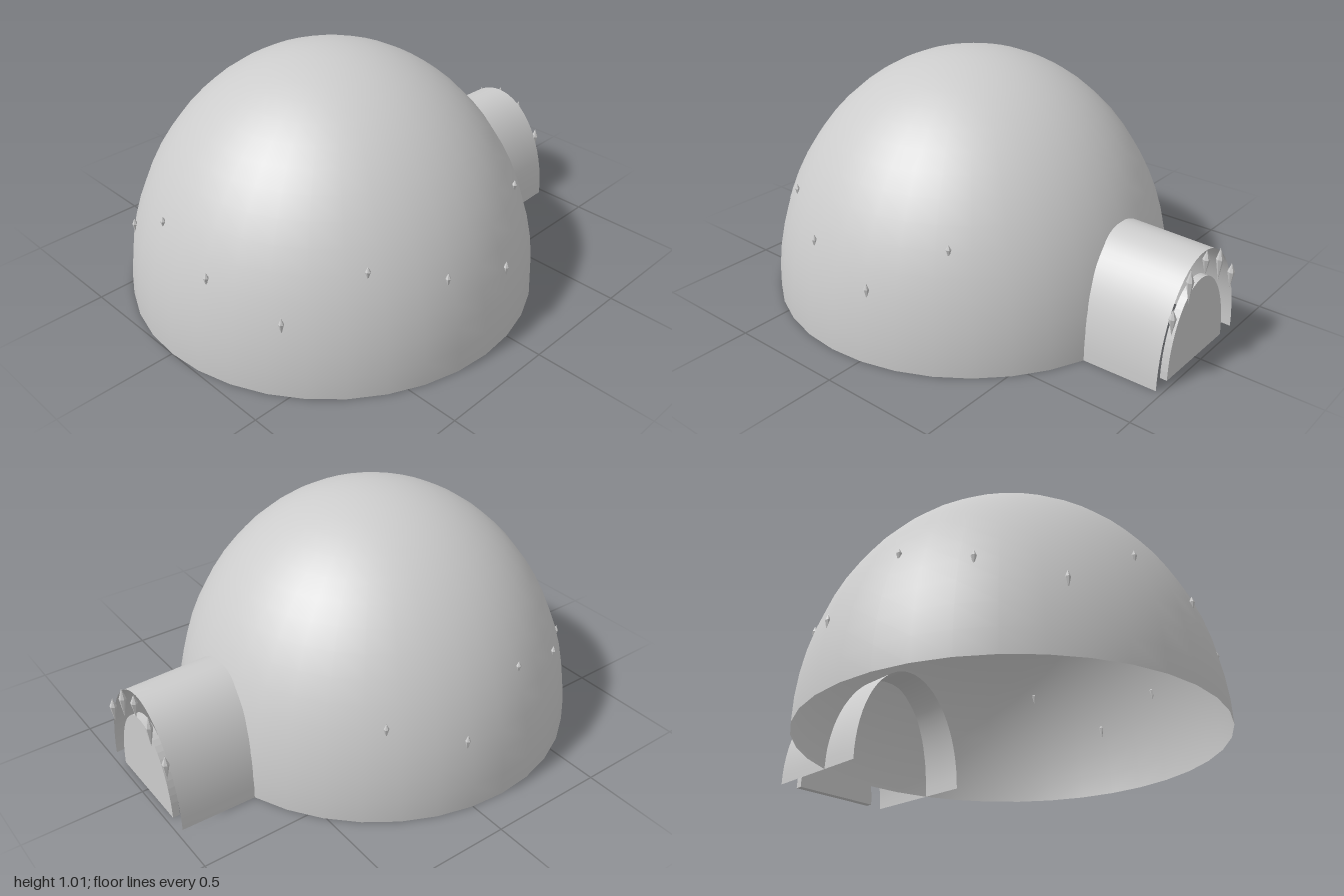
import * as THREE from 'three';

const DOME = { x: -0.145, y: 0.006, r: 0.855, h: 1.014 };

// Half-elliptical arch outline standing on y = 0
function archShape(halfWidth, height) {
  const pts = [];
  for (let i = 0; i <= 32; i++) {
    const a = (i / 32) * Math.PI;
    pts.push(new THREE.Vector2(halfWidth * Math.cos(a), height * Math.sin(a)));
  }
  return new THREE.Shape(pts);
}

// Open arched sheet along x, slightly narrower at the mouth
function tunnelGeometry(x0, x1) {
  const seg = 32, rows = 6, pos = [], idx = [];
  for (let j = 0; j <= rows; j++) {
    const t = j / rows;
    const w = 0.298 - 0.012 * t, h = 0.472 - 0.012 * t;
    for (let i = 0; i <= seg; i++) {
      const a = (i / seg) * Math.PI;
      pos.push(x0 + (x1 - x0) * t, DOME.y + h * Math.sin(a), w * Math.cos(a));
    }
  }
  for (let j = 0; j < rows; j++) {
    for (let i = 0; i < seg; i++) {
      const a = j * (seg + 1) + i, b = a + seg + 1;
      idx.push(a, b, a + 1, b, b + 1, a + 1);
    }
  }
  const g = new THREE.BufferGeometry();
  g.setAttribute('position', new THREE.Float32BufferAttribute(pos, 3));
  g.setIndex(idx);
  g.computeVertexNormals();
  return g;
}

// Pointed drop, widest in its upper part
function icicleGeometry(radius, length) {
  const g = new THREE.LatheGeometry([
    new THREE.Vector2(0, -length / 2),
    new THREE.Vector2(radius, length * 0.15),
    new THREE.Vector2(0, length / 2),
  ], 6);
  const flat = g.toNonIndexed();
  flat.computeVertexNormals();
  return flat;
}

export function createModel() {
  const model = new THREE.Group();
  const snow = new THREE.MeshStandardMaterial({ color: 0xcccccc, side: THREE.DoubleSide });
  snow.name = 'snowGrey';

  const add = (name, geometry, x = 0, y = 0, z = 0) => {
    const mesh = new THREE.Mesh(geometry, snow);
    mesh.name = name;
    mesh.position.set(x, y, z);
    model.add(mesh);
    return mesh;
  };

  // Hollow dome, open underneath
  const dome = new THREE.SphereGeometry(1, 36, 16, 0, Math.PI * 2, 0, Math.PI / 2);
  dome.scale(DOME.r, DOME.h, DOME.r);
  add('dome', dome, DOME.x, DOME.y, 0);

  // Entrance tunnel, reaching inside the dome
  add('entranceTunnel', tunnelGeometry(0.46, 0.975));

  // Door panel in the mouth
  const door = new THREE.ExtrudeGeometry(archShape(0.205, 0.347), { depth: 0.03, bevelEnabled: false });
  door.rotateY(Math.PI / 2);
  add('doorPanel', door, 0.943, DOME.y, 0);

  // Icicles hanging round the mouth
  const mouth = [[0, 0.422, 0.105], [0.112, 0.37, 0.14], [0.222, 0.272, 0.11]];
  for (const [z, y, length] of mouth) {
    for (const side of z ? [1, -1] : [1]) {
      add('mouthIcicle', icicleGeometry(0.015, length), 0.985, y, side * z);
    }
  }

  // Icicles round the dome at three repeating heights
  const heights = [[0.485, 0.06], [0.3, 0.075], [0.395, 0.066]];
  for (let i = 0; i < 12; i++) {
    const [y, length] = heights[i % 3];
    const a = THREE.MathUtils.degToRad(56.25 + 22.5 * i);
    const r = DOME.r * Math.sqrt(1 - ((y - DOME.y) / DOME.h) ** 2);
    add('domeIcicle', icicleGeometry(0.011, length), DOME.x + r * Math.cos(a), y, r * Math.sin(a));
  }

  // Settle the model on y = 0
  model.position.y = -DOME.y * 0.5;
  return model;
}
